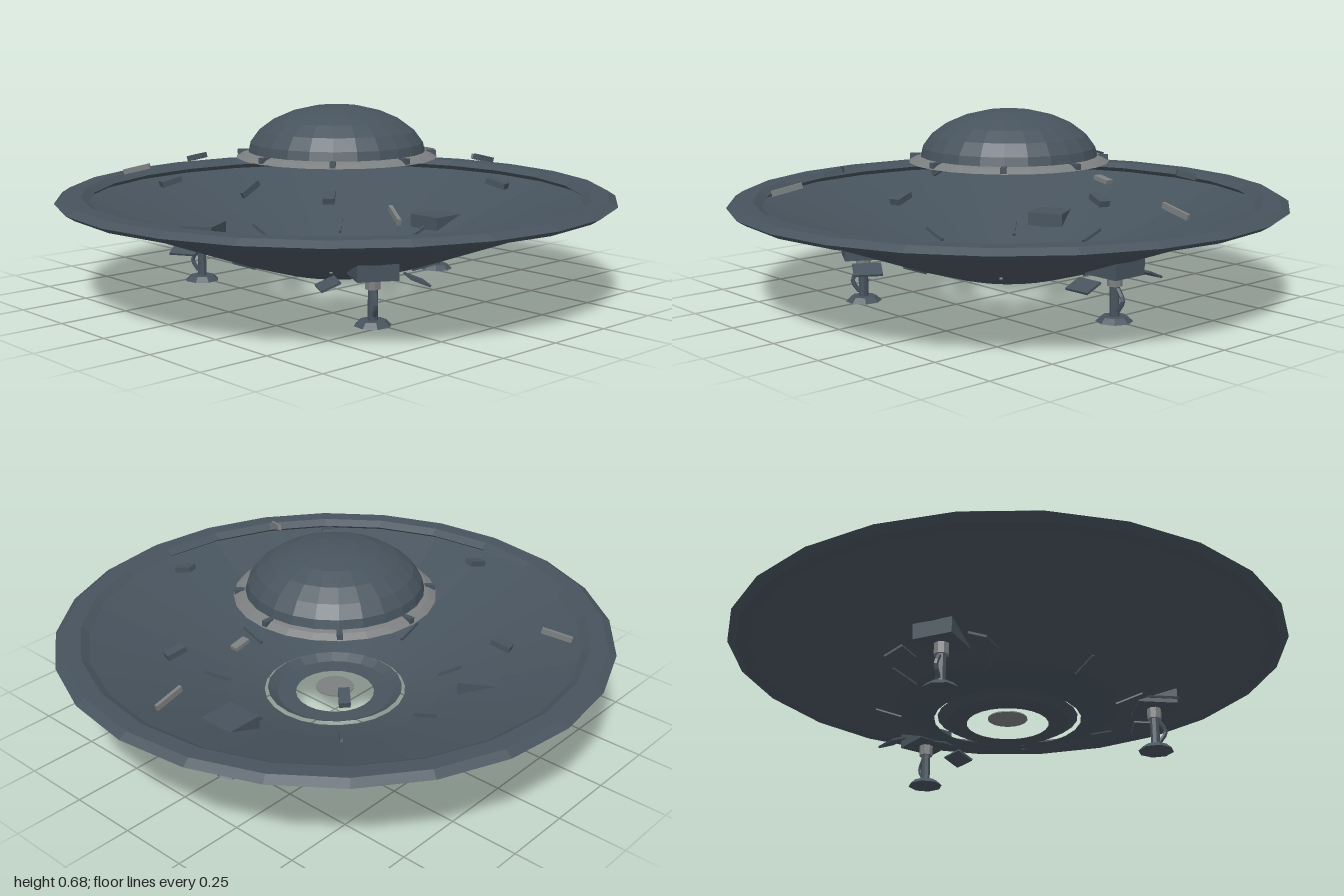
import * as THREE from 'three';

const material = (name, color, extra = {}) =>
  Object.assign(new THREE.MeshStandardMaterial({ color, flatShading: true, side: THREE.DoubleSide }), { name });
const hullPaint = material('slate hull', 0x47535d);
const metal = material('grey metal', 0x7c7f80);

const mesh = (name, geometry, mat, x = 0, y = 0, z = 0) => {
  const m = new THREE.Mesh(geometry, mat);
  m.name = name;
  m.position.set(x, y, z);
  return m;
};
const lathe = (points) =>
  new THREE.LatheGeometry(points.map(([r, y]) => new THREE.Vector2(r, y)), 24);

// Group whose local +x points outward at the given angle (0 = +x, 90 = +z)
const spoke = (name, degrees, ...parts) => {
  const g = new THREE.Group();
  g.name = name;
  g.rotation.y = -THREE.MathUtils.degToRad(degrees);
  g.add(...parts);
  return g;
};

// Part tilted along the spoke
const tilted = (m, angle) => {
  m.rotation.z = angle;
  return m;
};

function landingLeg(degrees) {
  const leg = spoke('landingLeg', degrees,
    mesh('legHousing', new THREE.BoxGeometry(0.14, 0.055, 0.14), hullPaint, 0.53, 0.188),
    mesh('legCollar', new THREE.CylinderGeometry(0.026, 0.026, 0.04, 8), metal, 0.53, 0.142),
    mesh('legShaft', new THREE.CylinderGeometry(0.017, 0.017, 0.12, 8), hullPaint, 0.53, 0.075),
    mesh('foot', new THREE.CylinderGeometry(0.045, 0.064, 0.018, 8), hullPaint, 0.53, 0.009));
  // Curved brace beside the shaft
  const arc = new THREE.CatmullRomCurve3([[0.545, 0.115], [0.568, 0.075], [0.545, 0.035]]
    .map(([x, y]) => new THREE.Vector3(x, y, 0)));
  leg.add(mesh('legBrace', new THREE.TubeGeometry(arc, 6, 0.008, 5), hullPaint));
  // Open doors either side of the leg
  for (const s of [-1, 1]) {
    const door = mesh('legDoor', new THREE.BoxGeometry(0.1, 0.008, 0.07), hullPaint, 0.53, 0.145, s * 0.15);
    door.rotation.x = s * 0.4;
    leg.add(door);
  }
  return leg;
}

export function createModel() {
  const model = new THREE.Group();
  model.name = 'saucer';

  // Open bowl and flattened six-sided rim
  model.add(mesh('lowerHull', lathe([[0.26, 0.096], [0.4, 0.14], [0.95, 0.343]]), hullPaint));
  const rim = new THREE.TorusGeometry(0.94, 0.06, 6, 24);
  rim.scale(1, 1, 0.36).rotateX(Math.PI / 2);
  model.add(mesh('rim', rim, hullPaint, 0, 0.352, 0));

  // Bottom port: flanged ring around an open gap and a central disc
  model.add(mesh('portRing', lathe([[0.145, 0.08], [0.213, 0.083], [0.248, 0.104]]), hullPaint));
  model.add(mesh('portDisc', new THREE.CylinderGeometry(0.07, 0.07, 0.004, 24), metal, 0, 0.1, 0));

  // Cockpit dome and its collar
  const dome = new THREE.SphereGeometry(0.32, 24, 6, 0, Math.PI * 2, 0, Math.PI / 2);
  dome.scale(1, 0.18 / 0.32, 1);
  model.add(mesh('dome', dome, hullPaint, 0, 0.496, 0));
  model.add(mesh('domeCollar',
    lathe([[0.318, 0.492], [0.318, 0.512], [0.335, 0.507], [0.36, 0.492], [0.318, 0.492]]), metal));

  // Collar clamps and slim ribs on the bowl floor
  for (let i = 0; i < 8; i++) {
    model.add(spoke('collarSpoke', i * 45,
      mesh('collarClamp', new THREE.BoxGeometry(0.035, 0.024, 0.02), hullPaint, 0.338, 0.502),
      tilted(mesh('floorRib', new THREE.BoxGeometry(0.1, 0.018, 0.01), hullPaint, 0.43, 0.155), 0.35)));
  }

  // Hovering blocks above the bowl
  for (let i = 0; i < 6; i++) {
    model.add(spoke('blockSpoke', 45 + i * 60,
      tilted(mesh('block', new THREE.BoxGeometry(0.07, 0.02, 0.037), hullPaint, 0.635, 0.443), -0.25)));
  }

  // Three legs, each with a thin fin further out
  for (const a of [30, 150, 270]) {
    model.add(landingLeg(a));
    model.add(spoke('finSpoke', a,
      tilted(mesh('fin', new THREE.BoxGeometry(0.11, 0.02, 0.012), metal, 0.79, 0.41), -0.25)));
  }

  // Single details ahead of and behind the dome
  model.add(spoke('frontDetail', 90,
    tilted(mesh('frontFin', new THREE.BoxGeometry(0.08, 0.022, 0.012), hullPaint, 0.4, 0.412), -0.5)));
  model.add(spoke('rearDetail', 270,
    tilted(mesh('rearBlock', new THREE.BoxGeometry(0.06, 0.014, 0.03), metal, 0.47, 0.475), -0.2)));

  return model;
}
